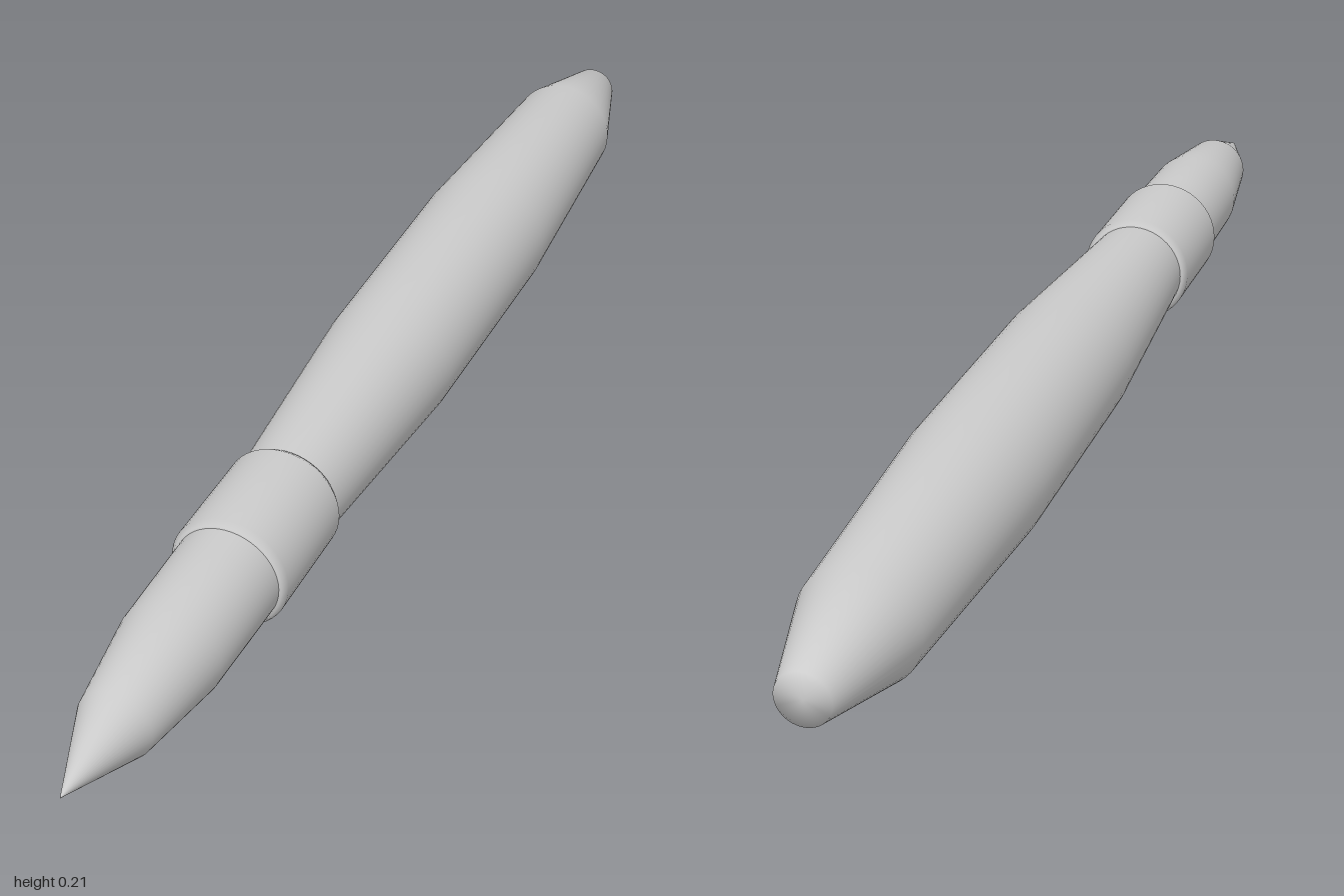
import * as THREE from 'three';

const AXIS_Y = 0.103;

// Lathe a [z, radius] profile (back to front) around the z axis.
function turned(name, profile) {
  const points = profile.map(([z, r]) => new THREE.Vector2(r, z));
  const geometry = new THREE.LatheGeometry(points, 48);
  geometry.rotateX(Math.PI / 2);
  geometry.translate(0, AXIS_Y, 0);
  const mesh = new THREE.Mesh(geometry, new THREE.MeshStandardMaterial({ color: 0xcccccc }));
  mesh.name = name;
  return mesh;
}

export function createModel() {
  const brush = new THREE.Group();
  brush.name = 'paintbrush';

  // Swelling wooden handle with a blunt tail
  brush.add(turned('handle', [
    [-1, 0], [-1, 0.037], [-0.83, 0.083], [-0.43, 0.103],
    [-0.02, 0.1], [0.36, 0.075], [0.4, 0.075],
  ]));

  // Collar with softened rims, open only where handle and bristles enter
  brush.add(turned('ferrule', [
    [0.35, 0.07], [0.35, 0.079], [0.36, 0.085],
    [0.53, 0.085], [0.54, 0.079], [0.54, 0.07],
  ]));

  // Bristles tapering to a point
  brush.add(turned('bristles', [
    [0.5, 0.076], [0.585, 0.075], [0.71, 0.073], [0.86, 0.052], [1, 0],
  ]));

  return brush;
}
